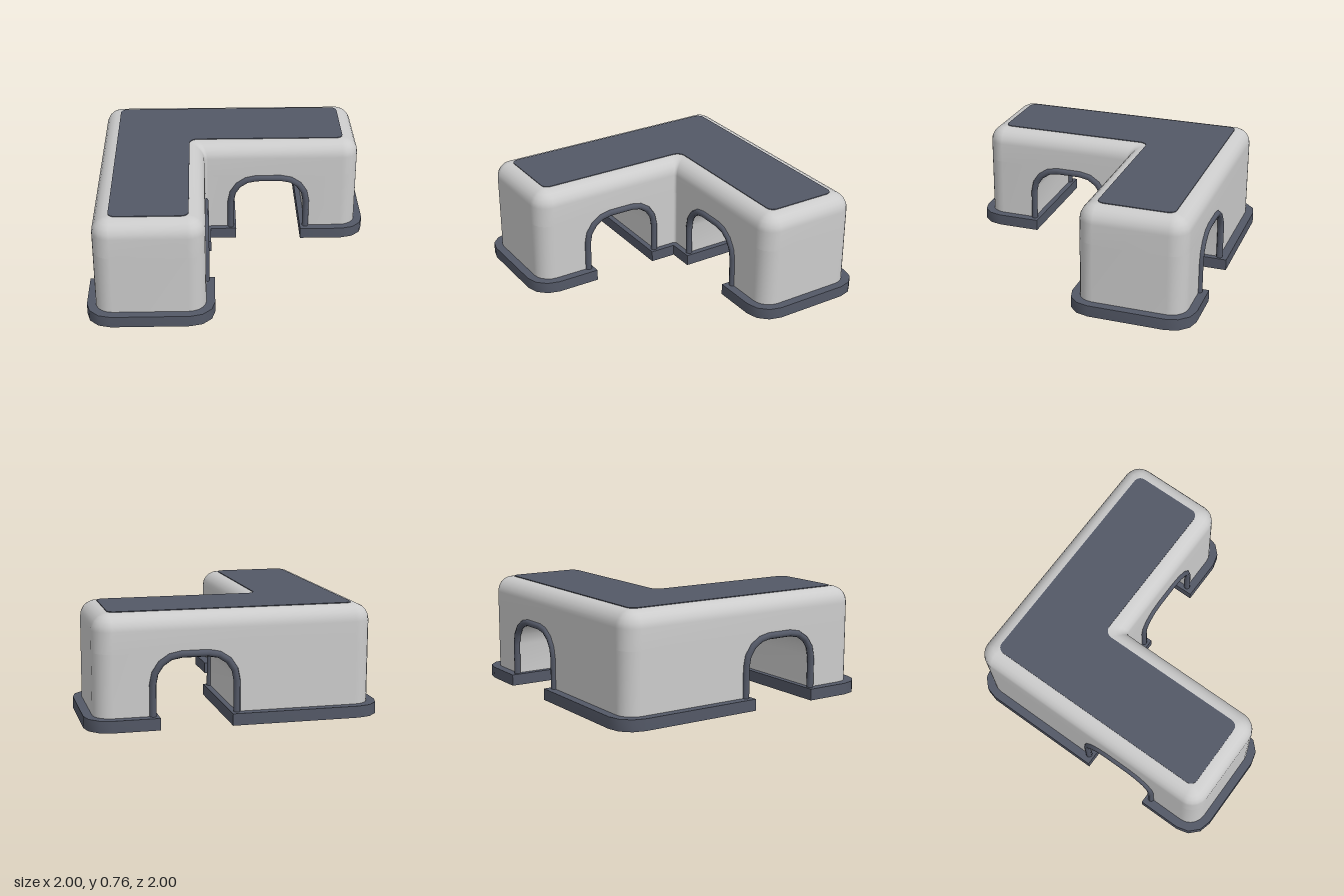
import * as THREE from 'three';
import { toCreasedNormals } from 'three/addons/utils/BufferGeometryUtils.js';

const grey = new THREE.MeshStandardMaterial({ color: 0xcccccc });
const slate = new THREE.MeshStandardMaterial({ color: 0x535866 });

const BODY = 0.94, INNER = -0.19;   // outer and inner faces of the L
const AXIS = -0.565;                // centre line of each arm
const HALF = 0.375;                 // half width of an arm
const CORNER = 0.12, NOOK = 0.02;   // convex and concave corner radii
const FLOOR = 0.04, SPLIT = 0.5;    // wall bottom, and where the one-piece top begins
const FILLET = 0.11, TOP = 0.752;
const ARCH_W = 0.56, ARCH_H = 0.482, LEG = 0.04;

// Rounds the right-angled corners of a path of [x, y, radius]
function roundPath(points, segments = 5) {
  const out = [];
  points.forEach(([x, y, r], i) => {
    const p = new THREE.Vector2(x, y);
    if (!r) { out.push(p); return; }
    const n = points.length;
    const a = new THREE.Vector2(...points[(i + n - 1) % n]).sub(p).normalize();
    const b = new THREE.Vector2(...points[(i + 1) % n]).sub(p).normalize();
    const c = p.clone().addScaledVector(a, r).addScaledVector(b, r);
    for (let k = 0; k <= segments; k++) {
      const t = (k / segments) * Math.PI / 2;
      out.push(c.clone().addScaledVector(b, -r * Math.cos(t)).addScaledVector(a, -r * Math.sin(t)));
    }
  });
  return out;
}

// Skins a surface over cross-sections with equal point counts
function loft(loops, closed) {
  const n = loops[0].length, index = [];
  for (let j = 0; j < loops.length - 1; j++) {
    for (let i = 0; i < (closed ? n : n - 1); i++) {
      const a = j * n + i, b = j * n + (i + 1) % n;
      index.push(a, b, b + n, a, b + n, a + n);
    }
  }
  const geometry = new THREE.BufferGeometry().setFromPoints(loops.flat());
  geometry.setIndex(index);
  geometry.computeVertexNormals();
  return geometry;
}

const atHeight = (plan, y) => plan.map(p => new THREE.Vector3(p.x, y, p.y));

// Upright slab from a floor plan given in x and z
function slab(plan, y, height) {
  const shape = new THREE.Shape(plan.map(p => new THREE.Vector2(p.x, -p.y)));
  const geometry = new THREE.ExtrudeGeometry(shape, { depth: height, bevelEnabled: false });
  geometry.rotateX(-Math.PI / 2).translate(0, y, 0);
  return toCreasedNormals(geometry, 0.6);
}

function add(parent, name, geometry, material) {
  const mesh = new THREE.Mesh(geometry, material);
  mesh.name = name;
  parent.add(mesh);
  return mesh;
}

const wall = path => loft([atHeight(path, FLOOR), atHeight(path, SPLIT)], false);

// L-shaped plan, shrunk by an inset
function bodyPlan(inset, convex, concave) {
  const o = BODY - inset, i = INNER - inset;
  return roundPath([[-o, o, convex], [i, o, convex], [i, i, concave],
    [o, i, convex], [o, -o, convex], [-o, -o, convex]]);
}

const archPath = bottom => roundPath([[0, bottom, 0], [0, ARCH_H, 0.19],
  [ARCH_W, ARCH_H, 0.19], [ARCH_W, bottom, 0]], 4);

// Round moulding following the arch
function trimGeometry() {
  const path = archPath(0.05), r = 0.0235, sides = 8;
  return loft(path.map((p, i) => {
    const before = path[Math.max(i - 1, 0)], after = path[Math.min(i + 1, path.length - 1)];
    const t0 = i > 0 ? p.clone().sub(before).normalize() : new THREE.Vector2();
    const t1 = i < path.length - 1 ? after.clone().sub(p).normalize() : new THREE.Vector2();
    const t = t0.add(t1).normalize();
    return Array.from({ length: sides }, (_, k) => {
      const a = (k / sides) * Math.PI * 2, c = r * Math.cos(a);
      return new THREE.Vector3(p.x - t.y * c, p.y + t.x * c, r * Math.sin(a));
    });
  }), true);
}

// One arm, running along +x: archway, end wall, mouldings and foot
function createArm(name) {
  const arm = new THREE.Group();
  arm.name = name;

  const archway = new THREE.Shape([
    new THREE.Vector2(-LEG, FLOOR), ...archPath(FLOOR),
    new THREE.Vector2(ARCH_W + LEG, FLOOR),
    new THREE.Vector2(ARCH_W + LEG, SPLIT), new THREE.Vector2(-LEG, SPLIT)]);
  const tunnel = new THREE.ExtrudeGeometry(archway, { depth: 2 * HALF, bevelEnabled: false });
  tunnel.translate(0, 0, -HALF);
  add(arm, 'tunnel', toCreasedNormals(tunnel, 0.6), grey);

  const start = ARCH_W + LEG;
  add(arm, 'endWall', wall(roundPath([[start, HALF, 0], [BODY, HALF, CORNER],
    [BODY, -HALF, CORNER], [start, -HALF, 0]])), grey);

  for (const side of [-1, 1]) {
    add(arm, 'archTrim', trimGeometry(), slate).position.z = side * HALF;
  }

  add(arm, 'endFoot', slab(roundPath([[0.52, 0.435, 0], [1, 0.435, 0.17],
    [1, -0.435, 0.17], [0.52, -0.435, 0]], 3), 0, 0.08), slate);
  return arm;
}

export function createModel() {
  const model = new THREE.Group();
  model.name = 'cornerTunnel';

  // Two matching arms
  const backArm = createArm('backArm');
  backArm.position.z = AXIS;
  const frontArm = createArm('frontArm');
  frontArm.position.x = AXIS;
  frontArm.rotation.y = -Math.PI / 2;
  model.add(backArm, frontArm);

  // Corner walls and foot joining the arms
  add(model, 'innerCornerWall', wall(roundPath([[INNER, -LEG, 0],
    [INNER, INNER, NOOK], [-LEG, INNER, 0]])), grey);
  add(model, 'outerCornerWall', wall(roundPath([[-LEG, -BODY, 0],
    [-BODY, -BODY, CORNER], [-BODY, -LEG, 0]])), grey);
  add(model, 'cornerFoot', slab(roundPath([[-1, 0.04, 0], [-0.15, 0.04, 0], [-0.15, -0.15, 0],
    [0.04, -0.15, 0], [0.04, -1, 0], [-1, -1, 0.17]], 3), 0, 0.08), slate);

  // Upper walls with a rounded shoulder
  const loops = [atHeight(bodyPlan(0, CORNER, NOOK), SPLIT)];
  for (let k = 0; k <= 5; k++) {
    const t = (k / 5) * Math.PI / 2;
    const inset = FILLET * (1 - Math.cos(t));
    const plan = bodyPlan(inset, Math.max(CORNER - inset, 0.02), NOOK + 0.4 * inset);
    loops.push(atHeight(plan, TOP - FILLET + FILLET * Math.sin(t)));
  }
  add(model, 'shoulder', loft(loops, true), grey);
  add(model, 'roof', slab(bodyPlan(FILLET, 0.02, NOOK + 0.4 * FILLET), TOP - 0.01, 0.01), grey);

  // Inlaid panel on the roof
  add(model, 'topPanel', slab(bodyPlan(FILLET, 0.05, 0.06), TOP - 0.005, 0.01), slate);

  return model;
}
